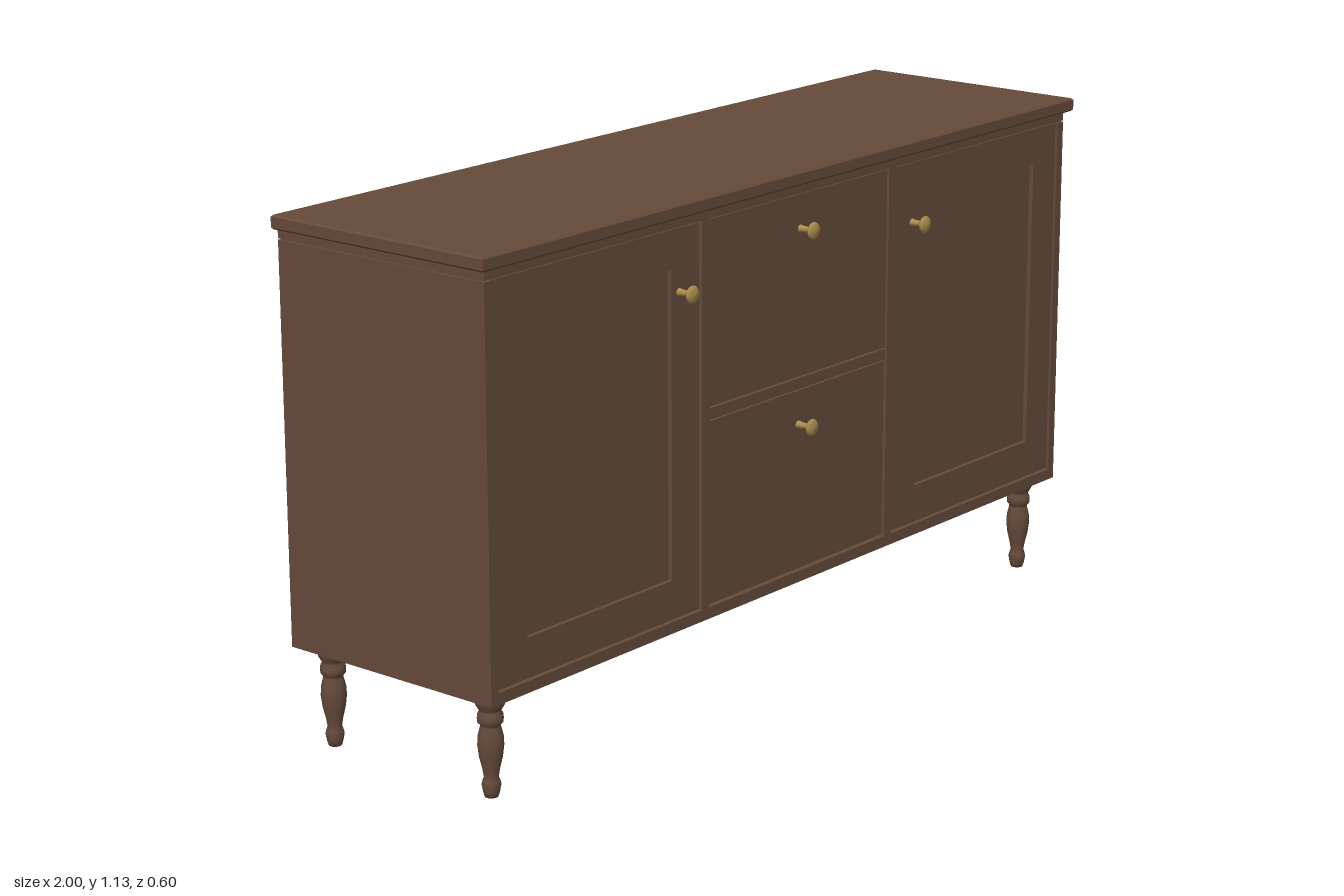
import * as THREE from 'three';

export function createModel() {
  const model = new THREE.Group();
  model.name = 'sideboard';
  const wood = new THREE.MeshStandardMaterial({ color: 0x654a3a });
  wood.name = 'brown wood';
  const brass = new THREE.MeshStandardMaterial({ color: 0xa88a4c });
  brass.name = 'brass';

  // Box given by its limits on each axis
  function box(name, x0, x1, y0, y1, z0, z1, parent = model) {
    const mesh = new THREE.Mesh(new THREE.BoxGeometry(x1 - x0, y1 - y0, z1 - z0), wood);
    mesh.position.set((x0 + x1) / 2, (y0 + y1) / 2, (z0 + z1) / 2);
    mesh.name = name;
    parent.add(mesh);
    return mesh;
  }

  const front = 0.26, back = -0.295;

  // Worktop with softly bevelled edges
  const slab = new THREE.Shape();
  slab.moveTo(-0.996, -0.271).lineTo(0.996, -0.271).lineTo(0.996, 0.291).lineTo(-0.996, 0.291).closePath();
  const topGeo = new THREE.ExtrudeGeometry(slab, {
    depth: 0.022, bevelThickness: 0.004, bevelSize: 0.004, bevelSegments: 1,
  });
  topGeo.rotateX(-Math.PI / 2);
  const top = new THREE.Mesh(topGeo, wood);
  top.position.y = 1.104;
  top.name = 'worktop';
  model.add(top);

  // Carcass
  box('topRail', -0.982, 0.982, 1.079, 1.1, back, front);
  box('bottomBoard', -0.96, 0.96, 0.218, 0.243, back, front);
  box('backPanel', -0.96, 0.96, 0.243, 1.079, back + 0.012, back + 0.022);
  box('drawerRail', -0.308, 0.308, 0.651, 0.675, 0.0, front - 0.004);
  for (const s of [-1, 1]) {
    box('sidePanel', s * 0.971 - 0.011, s * 0.971 + 0.011, 0.218, 1.076, back, front);
    box('divider', s * 0.32 - 0.012, s * 0.32 + 0.012, 0.243, 1.079, back + 0.022, front);
  }
  box('neck', -0.976, 0.976, 1.07, 1.106, back + 0.004, front - 0.02);

  // Framed doors: a frame with a hole and a recessed panel
  for (const s of [-1, 1]) {
    const door = new THREE.Group();
    door.name = s > 0 ? 'leftDoor' : 'rightDoor';
    const frame = new THREE.Shape();
    frame.moveTo(-0.31, 0.247).lineTo(0.31, 0.247).lineTo(0.31, 1.076).lineTo(-0.31, 1.076).closePath();
    const hole = new THREE.Path();
    hole.moveTo(-0.223, 0.332).lineTo(-0.223, 0.992).lineTo(0.223, 0.992).lineTo(0.223, 0.332).closePath();
    frame.holes.push(hole);
    const mesh = new THREE.Mesh(new THREE.ExtrudeGeometry(frame, { depth: 0.02, bevelEnabled: false }), wood);
    mesh.position.z = front - 0.024;
    mesh.name = 'doorFrame';
    door.add(mesh);
    box('doorPanel', -0.225, 0.225, 0.33, 0.994, front - 0.024, front - 0.014, door);
    door.position.x = s * 0.647;
    model.add(door);
  }

  // Drawers
  box('lowerDrawer', -0.306, 0.306, 0.247, 0.647, 0.0, front - 0.006);
  box('upperDrawer', -0.306, 0.306, 0.679, 1.076, 0.0, front - 0.004);

  // Turned shapes from radius and height pairs
  const lathe = (pairs, segments) =>
    new THREE.LatheGeometry(pairs.map(([r, y]) => new THREE.Vector2(r, y)), segments);

  // Round knobs on a stem
  const knobGeo = lathe([
    [0.009, -0.008], [0.007, 0.004], [0.006, 0.018], [0.009, 0.022], [0.017, 0.028],
    [0.019, 0.031], [0.017, 0.035], [0.011, 0.038], [0, 0.04],
  ], 24);
  knobGeo.rotateX(Math.PI / 2);
  for (const [x, y] of [[-0.4, 0.943], [0.4, 0.943], [0, 1.002], [0, 0.572]]) {
    const knob = new THREE.Mesh(knobGeo, brass);
    knob.position.set(x, y, front);
    knob.name = 'knob';
    model.add(knob);
  }

  // Turned legs
  const legGeo = lathe([
    [0, 0], [0.014, 0], [0.017, 0.01], [0.02, 0.026], [0.018, 0.034], [0.015, 0.042],
    [0.018, 0.06], [0.024, 0.085], [0.027, 0.11], [0.026, 0.13], [0.021, 0.15],
    [0.021, 0.154], [0.026, 0.159], [0.027, 0.167], [0.026, 0.176], [0.022, 0.183],
    [0.024, 0.187], [0.03, 0.197], [0.032, 0.206], [0.031, 0.22],
  ], 24);
  for (const x of [-0.924, 0.924]) {
    for (const z of [0.202, -0.237]) {
      const leg = new THREE.Mesh(legGeo, wood);
      leg.position.set(x, 0, z);
      leg.name = 'leg';
      model.add(leg);
    }
  }
  return model;
}
